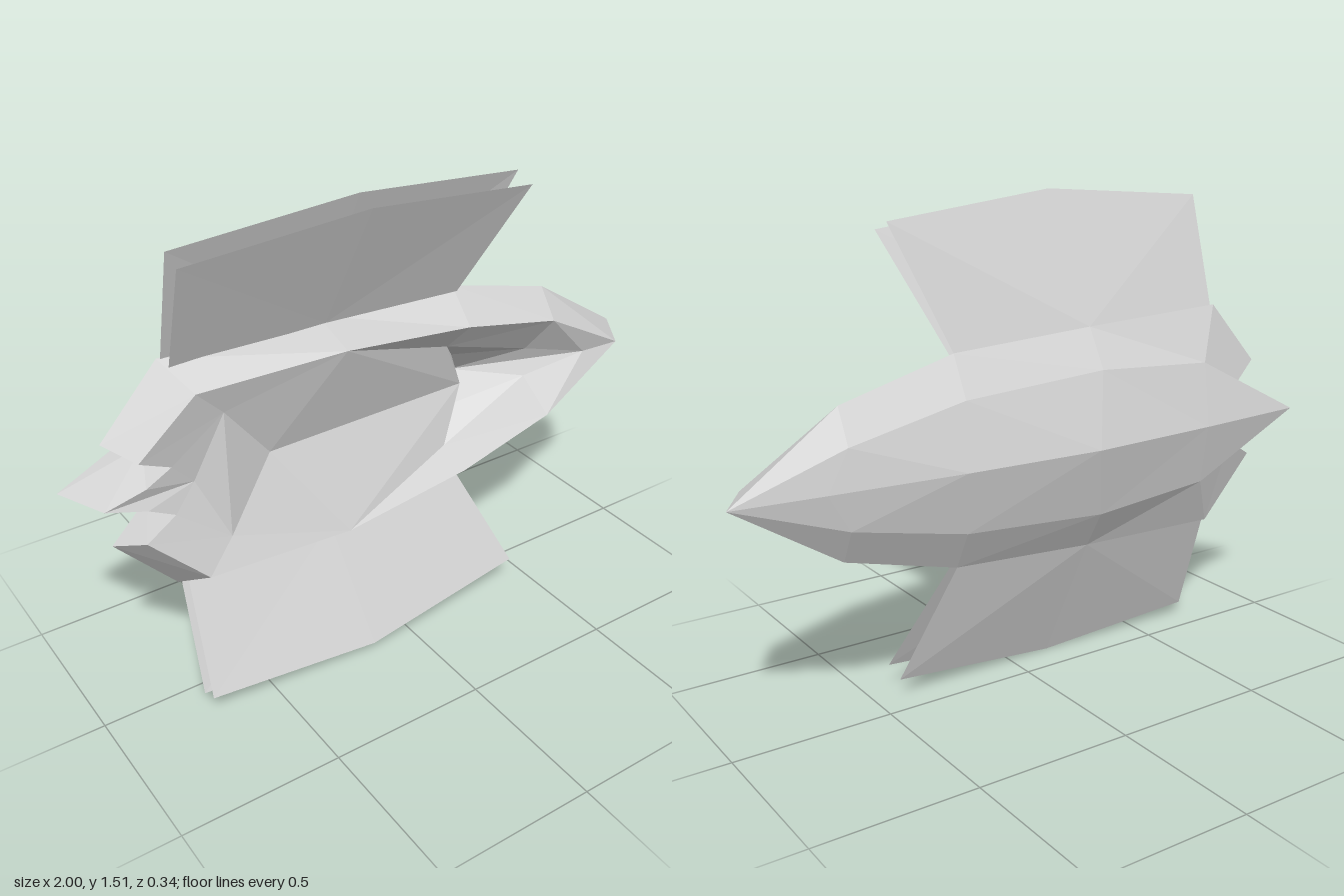
import * as THREE from 'three';

const MID = 0.757; // height of the mirror plane

// Points are [x, h, z], with h the distance above the mirror plane.
// Each polygon is fanned into triangles and mirrored below the plane.
function mirroredMesh(name, polygons, material) {
  const pos = [];
  const same = (a, b) => a.every((v, i) => v === b[i]);
  const push = (p, s) => pos.push(p[0], MID + s * p[1], p[2]);
  for (const poly of polygons) {
    for (let i = 1; i < poly.length - 1; i++) {
      const [a, b, c] = [poly[0], poly[i], poly[i + 1]];
      if (same(a, b) || same(b, c) || same(a, c)) continue;
      [a, b, c].forEach(p => push(p, 1));
      [a, c, b].forEach(p => push(p, -1));
    }
  }
  const geo = new THREE.BufferGeometry();
  geo.setAttribute('position', new THREE.Float32BufferAttribute(pos, 3));
  geo.computeVertexNormals();
  const mesh = new THREE.Mesh(geo, material);
  mesh.name = name;
  return mesh;
}

// Faces between two rows of points
function strip(a, b) {
  const out = [];
  for (let i = 0; i < a.length - 1; i++) {
    out.push([a[i], a[i + 1], b[i]], [a[i + 1], b[i + 1], b[i]]);
  }
  return out;
}

export function createModel() {
  const group = new THREE.Group();
  const grey = new THREE.MeshStandardMaterial({ color: 0xd4d4d4, flatShading: true, side: THREE.DoubleSide });
  grey.name = 'light grey';

  // Lengthwise lines of the hull, tail to nose
  const nose = [0.995, 0, -0.075];
  const rim = [[-0.83, 0.13, 0.065], [-0.66, 0.3, 0.09], [-0.2, 0.305, 0.117],
    [0.24, 0.253, 0.11], [0.59, 0.172, 0.095], [0.9, 0, 0.07]];
  const chine = [[-0.895, 0.165, -0.03], [-0.71, 0.37, -0.03], [-0.2, 0.352, -0.04],
    [0.28, 0.325, -0.035], [0.65, 0.226, -0.04], nose];
  const bilge = [[-0.75, 0.085, -0.09], [-0.62, 0.2, -0.1], [-0.2, 0.23, -0.11],
    [0.28, 0.2, -0.1], [0.65, 0.12, -0.095], nose];
  const keel = [[-1, 0, -0.12], [-0.6, 0, -0.15], [-0.15, 0, -0.173],
    [0.3, 0, -0.145], [0.72, 0, -0.105], nose];

  // Tail points
  const tail = [-0.93, 0, 0.04], spikeTop = [-0.81, 0.035, 0.05], notch = [-0.73, 0.078, 0.05];
  // Inner points
  const aft = [-0.66, 0, 0.035], seatMid = [-0.57, 0, 0.065], seatCorner = [-0.57, 0.205, 0.065];
  const floorAft = [-0.41, 0, 0.02], floorFore = [0.29, 0, 0.005];
  const pit = [0.32, 0, -0.09], pitSide = [0.28, 0.09, -0.03], step = [0.2, 0.175, 0.05];
  const deckSide = [0.55, 0.05, 0.01], deckTip = [0.76, 0, 0.06];

  // Outer shell
  group.add(mirroredMesh('hullSides', strip(rim, chine), grey));
  group.add(mirroredMesh('hullBottom', [...strip(chine, bilge), ...strip(bilge, keel)], grey));
  group.add(mirroredMesh('tailSpikes', [
    [rim[0], chine[0], bilge[0], notch],
    [bilge[0], keel[0], tail, spikeTop],
    [bilge[0], spikeTop, notch],
    [tail, aft, spikeTop],
    [spikeTop, aft, notch],
  ], grey));

  // Hollow interior
  group.add(mirroredMesh('interior', [
    [notch, aft, seatCorner],
    [notch, seatCorner, rim[0]],
    [seatCorner, rim[1], rim[0]],
    [seatCorner, rim[2], rim[1]],
    [seatCorner, floorAft, rim[2]],
    [floorAft, floorFore, rim[2]],
    [floorFore, step, rim[2]],
    [step, rim[3], rim[2]],
    [step, rim[4], rim[3]],
    [step, deckSide, rim[4]],
    [deckSide, deckTip, rim[4]],
    [deckTip, rim[5], rim[4]],
  ], grey));
  group.add(mirroredMesh('seat', [
    [aft, seatMid, seatCorner],
    [seatMid, floorAft, seatCorner],
  ], grey));
  // The floor drops into a pit, from which the fore deck rises
  group.add(mirroredMesh('pitWall', [[floorFore, pit, pitSide, step]], grey));
  group.add(mirroredMesh('foreDeck', [
    [step, pitSide, deckSide],
    [pitSide, pit, deckSide],
    [pit, deckTip, deckSide],
  ], grey));

  // Two thin wings on each side, one behind the other
  const frontRoot = [[-0.69, 0.345, 0], [-0.2, 0.345, 0], [0.28, 0.315, -0.012]];
  const frontTip = [[-0.71, 0.69, 0.147], [-0.15, 0.732, 0.17], [0.43, 0.668, 0.134]];
  const backRoot = [[-0.7, 0.352, -0.03], chine[2], chine[3]];
  const backTip = [[-0.71, 0.715, 0.087], [-0.15, 0.757, 0.11], [0.425, 0.695, 0.073]];
  // Every wing fans out from its middle root point
  const wing = (r, t) => [[r[1], t[0], r[0]], [r[1], t[1], t[0]], [r[1], t[2], t[1]], [r[1], r[2], t[2]]];
  group.add(mirroredMesh('frontWings', wing(frontRoot, frontTip), grey));
  group.add(mirroredMesh('backWings', wing(backRoot, backTip), grey));

  return group;
}
